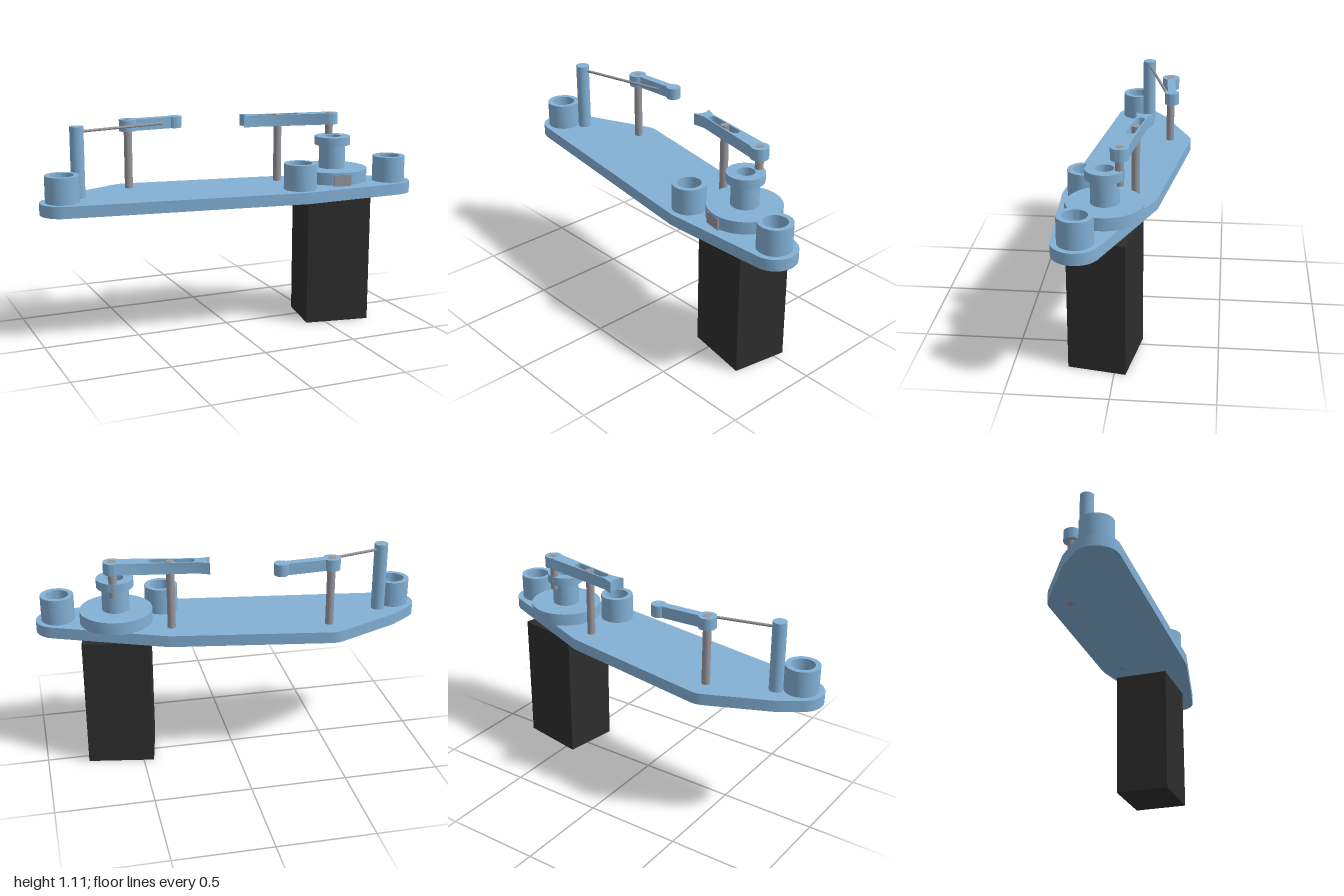
import * as THREE from 'three';
import { toCreasedNormals } from 'three/addons/utils/BufferGeometryUtils.js';
import { ConvexGeometry } from 'three/addons/geometries/ConvexGeometry.js';

const material = (name, color) => {
  const m = new THREE.MeshStandardMaterial({ color });
  m.name = name;
  return m;
};

export function createModel() {
  const blue = material('blue plastic', 0x82b0d5);
  const steel = material('grey steel', 0x96969d);
  const black = material('black housing', 0x2d2d2d);
  const model = new THREE.Group();
  model.name = 'linkageMechanism';

  const add = (name, geometry, mat, parent = model) => {
    const mesh = new THREE.Mesh(geometry, mat);
    mesh.name = name;
    parent.add(mesh);
    return mesh;
  };
  const group = (name, x, z, turn) => {
    const g = new THREE.Group();
    g.name = name;
    g.position.set(x, 0, z);
    g.rotation.y = turn;
    model.add(g);
    return g;
  };
  // Upright round bar between two heights
  const bar = (name, x, z, r, y0, y1, mat, parent = model) => {
    const m = add(name, new THREE.CylinderGeometry(r, r, y1 - y0, 32), mat, parent);
    m.position.set(x, (y0 + y1) / 2, z);
    return m;
  };
  const turned = (profile) => toCreasedNormals(new THREE.LatheGeometry(
    profile.map(([r, y]) => new THREE.Vector2(r, y)), 40), 0.6);
  // Flat outline laid horizontally as a link arm
  const slab = (shape, y0, y1) => {
    const g = new THREE.ExtrudeGeometry(shape, { depth: y1 - y0, bevelEnabled: false, curveSegments: 20 });
    g.rotateX(-Math.PI / 2).translate(0, y0, 0);
    return toCreasedNormals(g, 0.6);
  };

  // Base plate: wraps a round boss at each mounting point
  const bosses = [[-0.885, 0.02], [-0.785, -0.05], [-0.475, -0.19],
    [0.325, -0.065], [0.34, 0.185], [0.885, 0.16]];
  const rim = [];
  for (const [x, z] of bosses) {
    for (let i = 0; i < 32; i++) {
      const a = i / 32 * Math.PI * 2;
      for (const y of [0.69, 0.75]) {
        rim.push(new THREE.Vector3(x + 0.115 * Math.cos(a), y, z + 0.115 * Math.sin(a)));
      }
    }
  }
  add('basePlate', toCreasedNormals(new ConvexGeometry(rim), 0.6), blue);

  // Open cups
  const cup = turned([[0.086, 0.75], [0.086, 0.885], [0.06, 0.885], [0.06, 0.75]]);
  for (const [x, z] of [bosses[0], bosses[4], bosses[5]]) {
    add('cup', cup, blue).position.set(x, 0, z);
  }

  // Motor with its shaft, and the stepped hub on top
  const drive = group('drive', 0.593, 0.058, -0.169);
  add('motor', new THREE.BoxGeometry(0.345, 0.69, 0.289), black, drive).position.y = 0.345;
  bar('motorShaft', 0, 0, 0.045, 0.69, 0.8, black, drive);
  add('hub', turned([[0.045, 0.76], [0.187, 0.76], [0.187, 0.825], [0.07, 0.825], [0.07, 0.95],
    [0.095, 0.95], [0.095, 0.995], [0.045, 0.995], [0.045, 0.76]]), blue, drive);
  add('hubInsert', new THREE.BoxGeometry(0.092, 0.06, 0.08), steel, drive).position.set(0, 0.785, 0.148);

  // Posts, crank pin and the thin rod
  bar('rodPost', -0.785, -0.05, 0.035, 0.75, 1.11, blue);
  bar('leftPivot', -0.475, -0.19, 0.021, 0.689, 1.111, steel);
  bar('rightPivot', 0.325, -0.065, 0.021, 0.689, 1.111, steel);
  bar('crankPin', 0.61, -0.014, 0.021, 0.92, 1.111, steel);
  const rodPath = new THREE.LineCurve3(new THREE.Vector3(-0.785, 1.082, -0.053), new THREE.Vector3(-0.29, 1.08, -0.177));
  add('thinRod', new THREE.TubeGeometry(rodPath, 1, 0.007, 12), steel);

  // Left arm: two round ends joined by a narrow bar
  const link = new THREE.Shape();
  link.absarc(0, 0, 0.045, 0.5, Math.PI * 2 - 0.5);
  link.absarc(0.266, 0, 0.037, -(Math.PI - 0.62), Math.PI - 0.62);
  link.closePath();
  add('leftArm', slab(link, 1.05, 1.11), blue, group('leftArmGroup', -0.475, -0.19, 0.075));

  // Right arm: round end, long slot and a flared, hollowed tip
  const slotted = new THREE.Shape();
  slotted.absarc(0, 0, 0.045, -(Math.PI - 0.95), Math.PI - 0.95);
  slotted.lineTo(-0.425, 0.028);
  slotted.lineTo(-0.488, 0.045);
  slotted.quadraticCurveTo(-0.452, 0, -0.488, -0.045);
  slotted.lineTo(-0.425, -0.028);
  slotted.closePath();
  const slot = new THREE.Path();
  slot.absarc(-0.2, 0, 0.022, -Math.PI / 2, Math.PI / 2);
  slot.absarc(-0.39, 0, 0.022, Math.PI / 2, Math.PI * 1.5);
  slot.closePath();
  slotted.holes.push(slot);
  add('rightArm', slab(slotted, 1.05, 1.11), blue, group('rightArmGroup', 0.61, -0.014, -0.165));

  return model;
}
